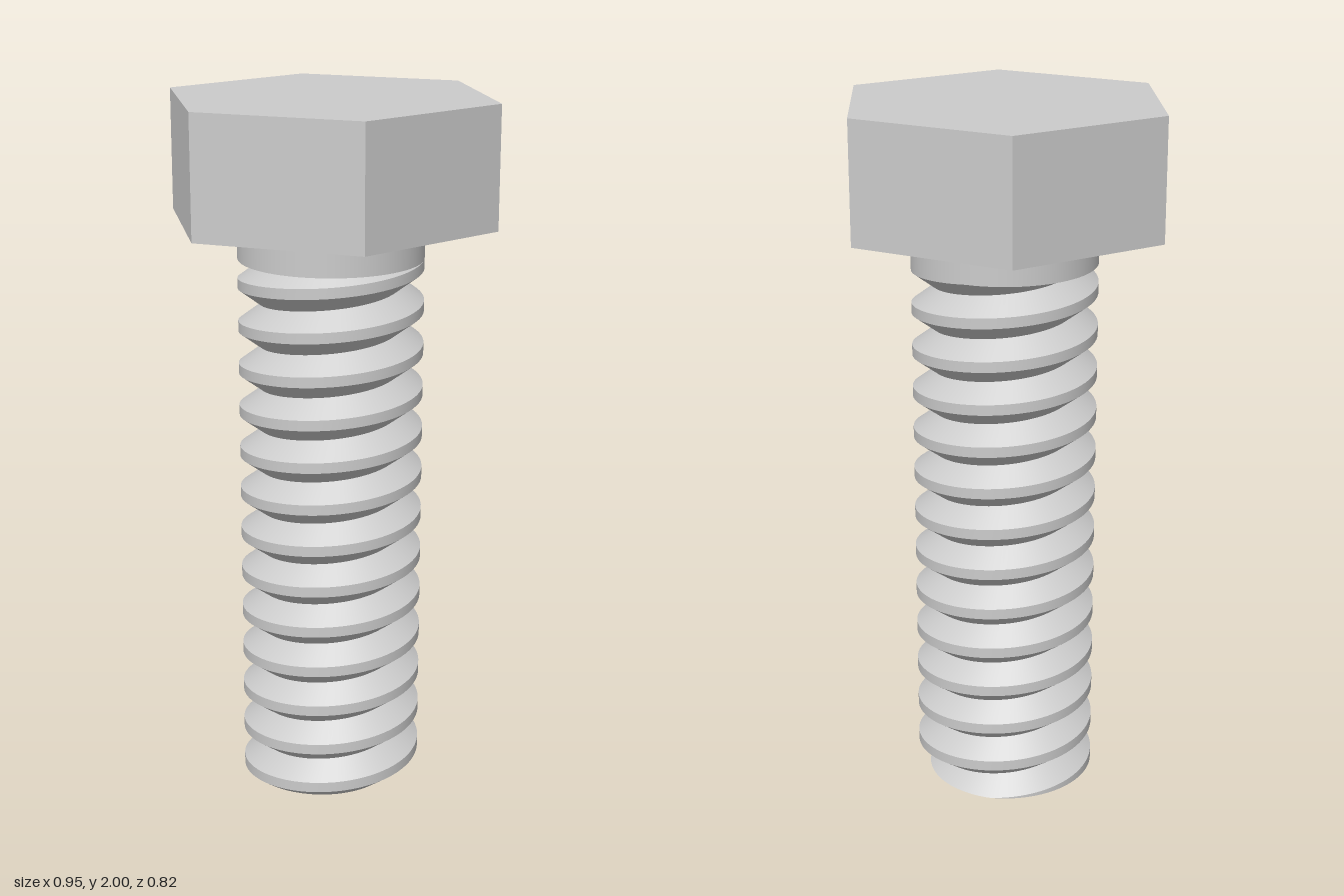
import * as THREE from 'three';
import { toCreasedNormals } from 'three/addons/utils/BufferGeometryUtils.js';

const MAJOR = 0.26, MINOR = 0.198, PITCH = 0.1223;
const SHANK_TOP = 1.555, HEAD_BOTTOM = 1.66, TOP = 2, HEAD_RADIUS = 0.476;
const CREST = 0.03;          // height of the flat crest
const CREST_START = 0.091;   // height of the lowest full crest on the +x side
const SEGMENTS = 96;

// Thread radius at a height above the crest centre line
function threadRadius(h) {
  const d = Math.abs(h - Math.round(h / PITCH) * PITCH);
  const t = Math.max(0, d - CREST / 2) / (PITCH / 2 - CREST / 2);
  return MAJOR - (MAJOR - MINOR) * t;
}

// Right-handed V thread: rows follow the helix and are trimmed flat at both ends
function threadGeometry() {
  const offsets = [];
  for (let k = -3; k * PITCH < SHANK_TOP + PITCH; k++) {
    for (const o of [-CREST / 2, CREST / 2, PITCH / 2]) offsets.push(k * PITCH + o);
  }
  const point = (i, row) => {
    const a = (i / SEGMENTS) * Math.PI * 2;
    const rise = CREST_START + PITCH * i / SEGMENTS;
    const y = THREE.MathUtils.clamp(rise + offsets[row], 0, SHANK_TOP);
    const r = threadRadius(y - rise);
    return new THREE.Vector3(r * Math.cos(a), y, -r * Math.sin(a));
  };
  const positions = [];
  const tri = (a, b, c) => {
    const area = b.clone().sub(a).cross(c.clone().sub(a)).length();
    if (area > 1e-9) for (const p of [a, b, c]) positions.push(p.x, p.y, p.z);
  };
  const centre = new THREE.Vector3();
  for (let i = 0; i < SEGMENTS; i++) {
    tri(centre, point(i + 1, 0), point(i, 0)); // bottom end
    for (let row = 0; row < offsets.length - 1; row++) {
      const a = point(i, row), b = point(i + 1, row);
      const c = point(i + 1, row + 1), d = point(i, row + 1);
      tri(a, b, c);
      tri(a, c, d);
    }
  }
  const geometry = new THREE.BufferGeometry();
  geometry.setAttribute('position', new THREE.Float32BufferAttribute(positions, 3));
  return toCreasedNormals(geometry, 0.5);
}

export function createModel() {
  const group = new THREE.Group();
  group.name = 'hexBolt';
  const smooth = new THREE.MeshStandardMaterial({ color: 0xcccccc });
  const flat = new THREE.MeshStandardMaterial({ color: 0xcccccc, flatShading: true });
  const add = (name, geometry, material, y = 0) => {
    const mesh = new THREE.Mesh(geometry, material);
    mesh.name = name;
    mesh.position.y = y;
    group.add(mesh);
    return mesh;
  };

  // Hexagonal head with corners on the x axis
  const head = add('head', new THREE.CylinderGeometry(HEAD_RADIUS, HEAD_RADIUS, TOP - HEAD_BOTTOM, 6),
    flat, (TOP + HEAD_BOTTOM) / 2);
  head.rotation.y = Math.PI / 6;

  // Plain neck under the head
  add('neck', new THREE.CylinderGeometry(MAJOR, MAJOR, HEAD_BOTTOM - SHANK_TOP, SEGMENTS),
    smooth, (HEAD_BOTTOM + SHANK_TOP) / 2);

  // Threaded shank
  add('threadedShank', threadGeometry(), smooth);
  return group;
}
